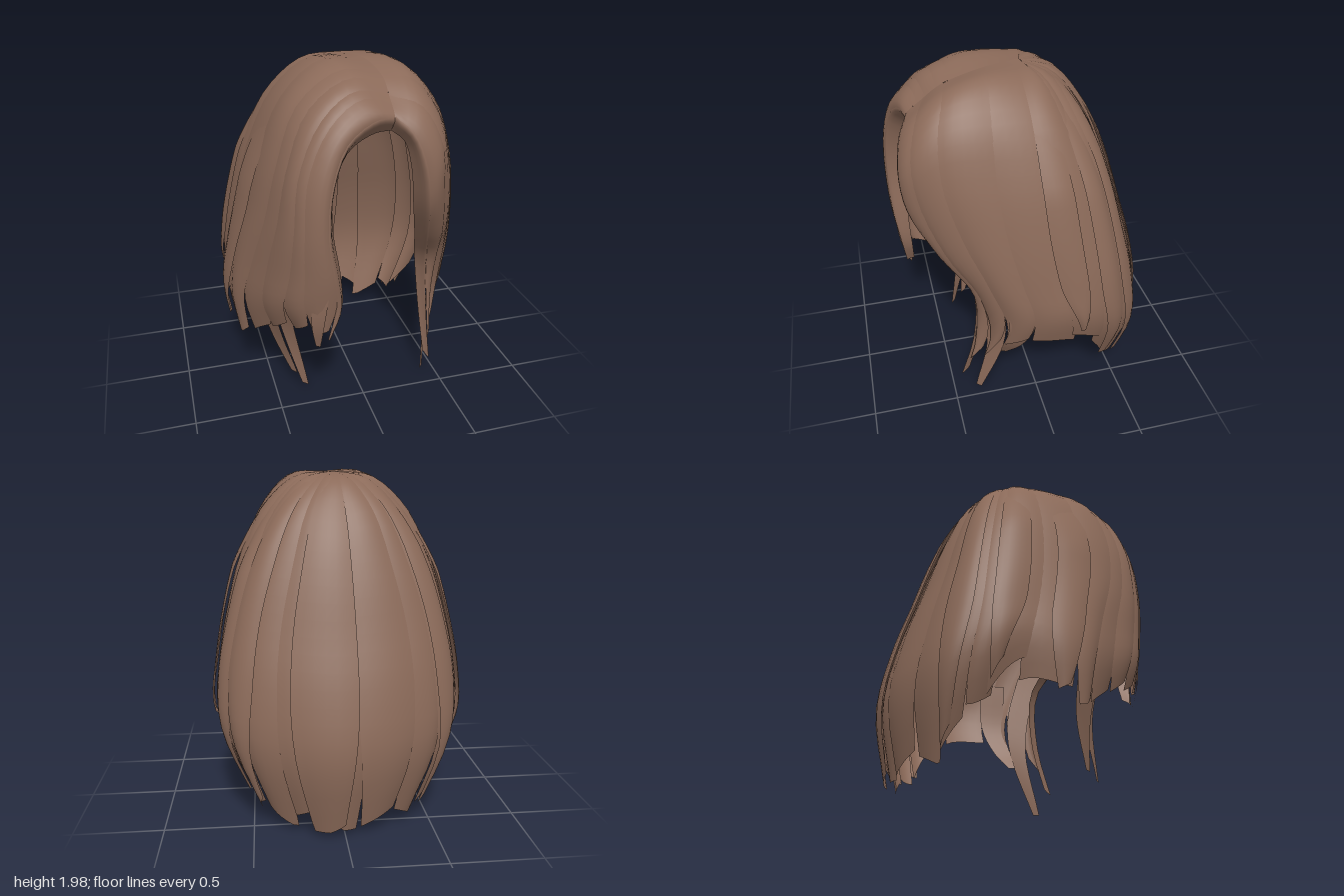
import * as THREE from 'three';

const V = (p) => new THREE.Vector3(...p);

// Guide curves from root to tip, ordered from the left fringe round the back
const leftFringe = [
  [[.10, 1.68, .57], [.17, 1.62, .58], [.21, 1.48, .59], [.245, 1.26, .55], [.305, 1.03, .44], [.37, .78, .3], [.40, .45, .31], [.41, .2, .38]],
  [[.10, 1.76, .62], [.19, 1.67, .67], [.25, 1.5, .69], [.29, 1.28, .66], [.34, 1.05, .53], [.41, .8, .36], [.43, .45, .36], [.43, .1, .46]],
  [[.10, 1.84, .53], [.25, 1.79, .59], [.35, 1.6, .64], [.39, 1.35, .61], [.45, 1.05, .49], [.49, .8, .34], [.49, .5, .28], [.45, .2, .36]],
  [[.10, 1.92, .41], [.25, 1.91, .43], [.38, 1.75, .48], [.46, 1.5, .48], [.52, 1.2, .4], [.57, .9, .28], [.58, .64, .2], [.52, .38, .22]],
  [[.07, 1.97, .2], [.23, 1.96, .22], [.40, 1.79, .24], [.51, 1.5, .24], [.58, 1.2, .2], [.63, .9, .12], [.65, .67, .05], [.58, .42, .07]],
];
const leftSide = [
  [[0, 1.97, 0], [.21, 1.94, -.01], [.39, 1.78, -.03], [.53, 1.5, -.05], [.61, 1.2, -.08], [.66, .9, -.13], [.68, .68, -.18], [.61, .42, -.2]],
  [[0, 1.97, 0], [.18, 1.93, -.1], [.35, 1.75, -.19], [.49, 1.48, -.27], [.58, 1.18, -.33], [.64, .85, -.38], [.63, .55, -.42], [.47, .15, -.41]],
  [[0, 1.97, 0], [.10, 1.92, -.16], [.22, 1.75, -.29], [.32, 1.46, -.40], [.40, 1.15, -.48], [.44, .82, -.56], [.44, .48, -.60], [.33, .05, -.54]],
];
const backCentre = [[0, 1.97, 0], [0, 1.91, -.2], [0, 1.72, -.34], [0, 1.43, -.46], [0, 1.12, -.56], [0, .8, -.66], [0, .45, -.72], [0, .04, -.65]];
const rightSide = leftSide.map((g) => g.map(([x, y, z]) => [-x, y, z])).reverse();
const rightFringe = [
  [[.07, 1.97, .2], [-.17, 1.97, .22], [-.38, 1.8, .25], [-.51, 1.5, .25], [-.58, 1.2, .22], [-.65, .9, .15], [-.69, .62, .1], [-.66, .35, .09]],
  [[.10, 1.92, .41], [-.11, 1.94, .42], [-.33, 1.79, .45], [-.45, 1.5, .49], [-.51, 1.2, .46], [-.57, .9, .36], [-.6, .65, .3], [-.55, .42, .28]],
  [[.10, 1.84, .53], [-.08, 1.86, .56], [-.25, 1.74, .61], [-.37, 1.5, .65], [-.40, 1.2, .67], [-.41, .95, .65], [-.42, .75, .62], [-.37, .57, .58]],
  [[.10, 1.76, .62], [0, 1.76, .64], [-.16, 1.66, .68], [-.25, 1.45, .72], [-.27, 1.2, .73], [-.24, .95, .72], [-.22, .75, .69], [-.26, .55, .66]],
  [[.10, 1.68, .57], [.01, 1.67, .57], [-.13, 1.59, .59], [-.21, 1.4, .61], [-.22, 1.18, .63], [-.185, .95, .64], [-.17, .72, .63], [-.23, .57, .62]],
];
const guides = [...leftFringe, ...leftSide, backCentre, ...rightSide, ...rightFringe]
  .map((g) => new THREE.CatmullRomCurve3(g.map(V)));
const LAST = guides.length - 1;

// Smooth hair surface: u counts guides, v runs from root to tip
function hairPoint(u, v) {
  const ring = new THREE.CatmullRomCurve3(guides.map((g) => g.getPoint(v)), false, 'catmullrom', 0.5);
  return ring.getPoint(THREE.MathUtils.clamp(u / LAST, 0, 1));
}

// Grid of points turned into a smooth sheet
function sheet(rows, cols, pointAt) {
  const pos = [], index = [];
  for (let j = 0; j <= rows; j++) {
    for (let i = 0; i <= cols; i++) {
      pos.push(...pointAt(i / cols, j / rows).toArray());
      if (i < cols && j < rows) {
        const a = j * (cols + 1) + i, b = a + cols + 1;
        index.push(a, a + 1, b, a + 1, b + 1, b);
      }
    }
  }
  const geo = new THREE.BufferGeometry();
  geo.setAttribute('position', new THREE.Float32BufferAttribute(pos, 3));
  geo.setIndex(index);
  geo.computeVertexNormals();
  return geo;
}

// A lock covers u0..u1, swells outward a little and narrows to a slanted tip
function lockGeometry({ u0, u1, start = 0, end = 1, lift = 0, taper = .35, slant = .03, bulge = .012 }) {
  const mid = (u0 + u1) / 2, half = (u1 - u0) / 2;
  return sheet(24, 6, (s, t) => {
    const side = s * 2 - 1;
    const v = Math.min(1, start + (end - start) * t - slant * side * Math.max(0, t - .8) * 2.5);
    const k = Math.max(0, (t - .68) / .32);
    const p = hairPoint(mid + half * side * (1 - taper * k ** 1.5), v);
    const out = new THREE.Vector3(p.x, Math.max(0, p.y - 1.1) * .8, p.z).normalize();
    const rise = Math.min(1, t * 3);
    return p.addScaledVector(out, rise * (lift + bulge * (1 - side * side)));
  });
}

// A free thin strand along a path, widest near its root
function strandGeometry(path, width) {
  const curve = new THREE.CatmullRomCurve3(path.map(V));
  return sheet(14, 2, (s, t) => {
    const p = curve.getPoint(t);
    const across = new THREE.Vector3(p.z, 0, -p.x).normalize();
    return p.addScaledVector(across, (s - .5) * width * (1 - .75 * t * t));
  });
}

export function createModel() {
  const group = new THREE.Group();
  group.name = 'hair';
  const brown = new THREE.MeshStandardMaterial({ color: 0x8b6a59, side: THREE.DoubleSide });
  brown.name = 'brown hair';
  const add = (name, geo) => {
    const mesh = new THREE.Mesh(geo, brown);
    mesh.name = name;
    group.add(mesh);
  };

  // Left fringe and left side
  const left = [
    { u0: 0, u1: 1.2, end: .99, bulge: .02 },
    { u0: 1, u1: 2.1, end: .92, lift: .004, taper: .55 },
    { u0: 1.9, u1: 3.1, end: .95, taper: .45 },
    { u0: 2.9, u1: 4.1, end: .96, lift: .004 },
    { u0: 3.9, u1: 5.1, end: .97, slant: -.02, taper: .2 },
    { u0: 4.8, u1: 5.75, end: .93, lift: .01, taper: .2 },
  ];
  left.forEach((l) => add('leftLock', lockGeometry(l)));

  // Back curtain, with a narrow slit just right of the centre
  const edges = [5.5, 6.1, 6.7, 7.3, 7.75, 8.2, 8.75, 9.3, 9.9, 10.5];
  const ends = [.97, .98, .99, .96, 1, .98, .99, .97, .95];
  ends.forEach((end, i) => add('backLock', lockGeometry({
    u0: edges[i] - .08, u1: edges[i + 1] + .08, end,
    lift: (i % 2) * .01, taper: i === 4 || i === 5 ? .34 : .25, slant: i % 2 ? .03 : -.03,
  })));

  // Right side and swept right fringe
  const right = [
    { u0: 10.3, u1: 11.2, end: .94, lift: .012, taper: .2 },
    { u0: 10.9, u1: 12.1, end: .97, lift: .006, taper: .25 },
    { u0: 11.9, u1: 12.8, end: 1, lift: .014, taper: .5 },
    { u0: 12.6, u1: 13.4, end: .98, lift: .004, taper: .3 },
    { u0: 13.2, u1: 13.8, end: .96, lift: .008, taper: .4 },
    { u0: 13.65, u1: 14.3, end: .97, taper: .4 },
    { u0: 14.1, u1: 15.1, end: .97, lift: .006, taper: .4 },
    { u0: 14.9, u1: 16, end: 1, bulge: .02, taper: .25 },
  ];
  right.forEach((l) => add('rightLock', lockGeometry(l)));

  // Raised outer locks lying over the sides and back
  const outer = [
    { u0: 4.8, u1: 5.4, start: .25, end: .89, lift: .035, taper: .8 },
    { u0: 5.7, u1: 6.3, start: .2, end: .98, lift: .022, taper: .5 },
    { u0: 6.3, u1: 6.9, start: .1, end: .97, lift: .028, taper: .6 },
    { u0: 7.4, u1: 8.15, start: .08, end: 1, lift: .03, taper: .4 },
    { u0: 9.2, u1: 9.8, start: .1, end: .97, lift: .028, taper: .6 },
    { u0: 10.2, u1: 10.9, start: .25, end: .92, lift: .03, taper: .7 },
    { u0: 11.4, u1: 12.1, start: .3, end: .97, lift: .036, taper: .7 },
  ];
  outer.forEach((l) => add('outerLock', lockGeometry(l)));

  // Loose strands below the sides
  const strands = [
    [[[-.5, 1, .4], [-.47, .7, .34], [-.41, .4, .3], [-.33, .06, .38]], .17],
    [[[-.56, .95, .3], [-.54, .65, .26], [-.47, .35, .24], [-.38, .1, .3]], .19],
    [[[-.42, 1.1, .55], [-.42, .8, .48], [-.38, .6, .39], [-.33, .45, .285]], .11],
    [[[.5, .95, .34], [.5, .65, .26], [.48, .4, .25], [.43, .01, .35]], .15],
    [[[.62, .9, .12], [.61, .6, .12], [.54, .42, .16], [.46, .3, .2]], .16],
    [[[-.3, 1.1, .71], [-.31, .85, .7], [-.32, .65, .68], [-.31, .5, .64]], .1],
  ];
  strands.forEach(([path, width]) => add('looseStrand', strandGeometry(path, width)));

  return group;
}
